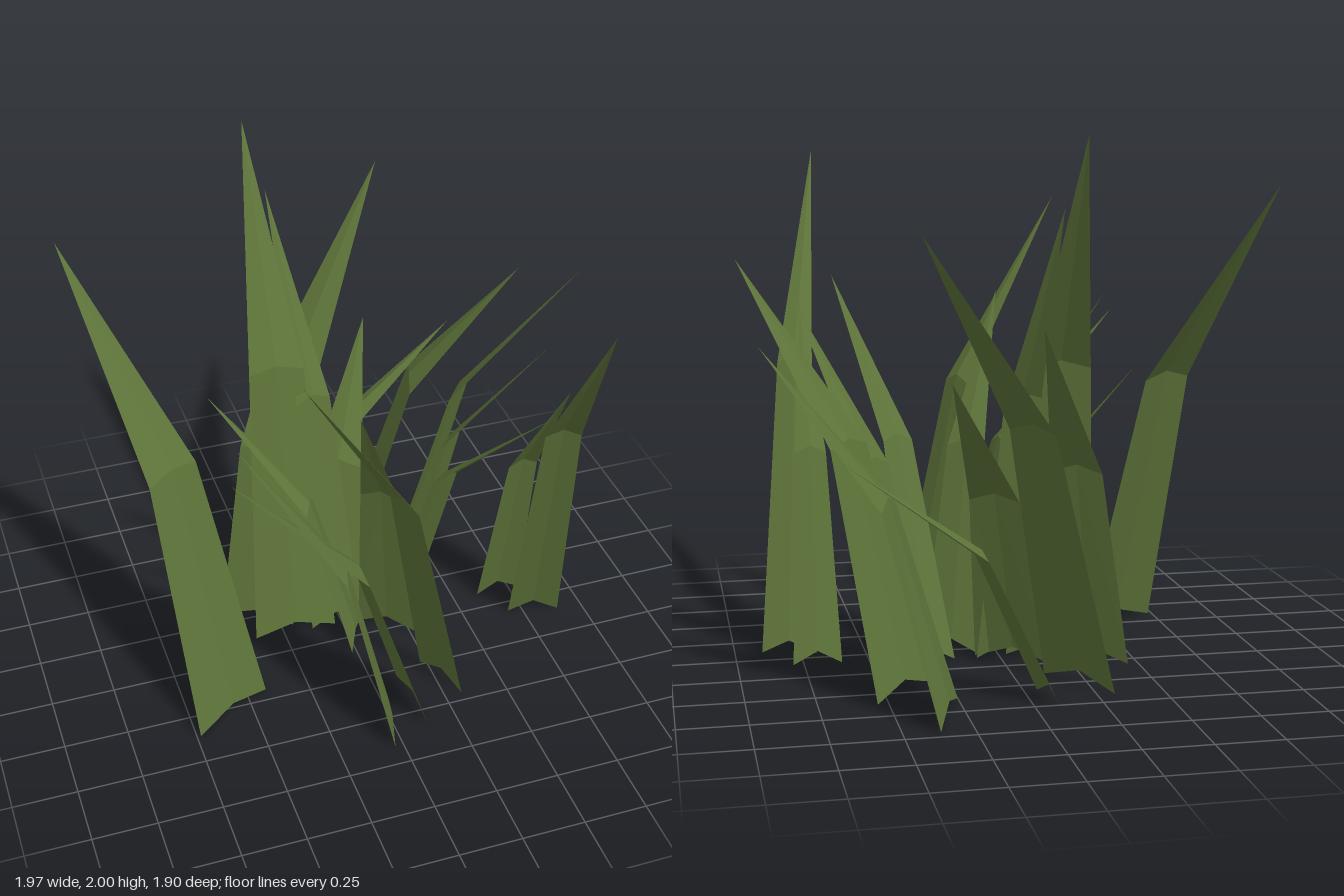
import * as THREE from 'three';

// Each blade: base corner A (x, z), base corner B (x, z), tip (x, y, z)
const BLADES = [
  [[-0.735, 0.365], [-0.42, 0.19], [-0.985, 1.82, -0.44]],
  [[-0.37, -0.115], [-0.03, -0.1], [-0.16, 2.0, -0.835]],
  [[-0.13, -0.1], [0.09, -0.13], [-0.11, 1.755, -0.71]],
  [[-0.46, -0.315], [-0.2, -0.15], [-0.05, 1.33, -0.665]],
  [[-0.315, -0.665], [-0.12, -0.37], [0.425, 1.685, -0.935]],
  [[-0.17, -0.26], [0.09, -0.09], [0.27, 1.145, -0.63]],
  [[-0.09, -0.76], [-0.05, -0.56], [0.715, 0.94, -0.805]],
  [[0.37, -0.955], [0.25, -0.6], [0.935, 1.285, -0.58]],
  [[0.31, -0.39], [0.54, -0.62], [0.98, 1.55, -0.085]],
  [[0.275, -0.25], [0.46, -0.39], [0.745, 1.365, 0.14]],
  [[0.175, -0.12], [0.355, -0.18], [0.55, 1.43, 0.655]],
  [[0.605, -0.085], [0.79, -0.085], [0.7, 1.375, 0.45]],
  [[0.69, 0.055], [0.895, 0.105], [0.595, 1.925, 0.95]],
  [[0.07, -0.09], [0.27, 0.05], [-0.085, 1.375, 0.38]],
  [[-0.02, 0.095], [0.07, -0.08], [-0.49, 1.145, -0.27]],
  [[0.225, 0.235], [0.32, 0.46], [-0.38, 1.74, 0.65]],
  [[-0.035, 0.665], [0.03, 0.4], [-0.55, 1.36, 0.41]],
  [[0.105, 0.285], [0.13, 0.58], [-0.6, 1.285, 0.495]],
];

const BEND_HEIGHT = 0.575; // share of the height at which the blade bends
const BEND_REACH = 0.32;   // share of the lean reached at the bend
const BEND_WIDTH = 0.65;   // share of the base width left at the bend

function bladeGeometry([a, b, tip]) {
  const left = new THREE.Vector3(a[0], 0.005, a[1]);
  const right = new THREE.Vector3(b[0], 0.005, b[1]);
  const end = new THREE.Vector3(...tip);
  const root = left.clone().lerp(right, 0.5);
  const half = right.clone().sub(root);

  // Bend section, with the central crease raised above both edges
  const bend = root.clone().lerp(end, BEND_REACH);
  bend.y = tip[1] * BEND_HEIGHT;
  const bendLeft = bend.clone().addScaledVector(half, -BEND_WIDTH);
  const bendRight = bend.clone().addScaledVector(half, BEND_WIDTH);
  root.y = 0.055;
  bend.y += 0.03;

  // Two strips beside the crease, closing to a point at the tip
  const triangles = [
    left, root, bend, left, bend, bendLeft,
    root, right, bendRight, root, bendRight, bend,
    bendLeft, bend, end, bend, bendRight, end,
  ];
  const geometry = new THREE.BufferGeometry().setFromPoints(triangles);
  geometry.computeVertexNormals();
  return geometry;
}

export function createModel() {
  const group = new THREE.Group();
  group.name = 'grassTuft';
  const green = new THREE.MeshStandardMaterial({ color: 0x5d7339, side: THREE.DoubleSide, flatShading: true });
  green.name = 'grass green';

  BLADES.forEach((blade, i) => {
    const mesh = new THREE.Mesh(bladeGeometry(blade), green);
    mesh.name = `grassBlade${i + 1}`;
    group.add(mesh);
  });
  return group;
}
